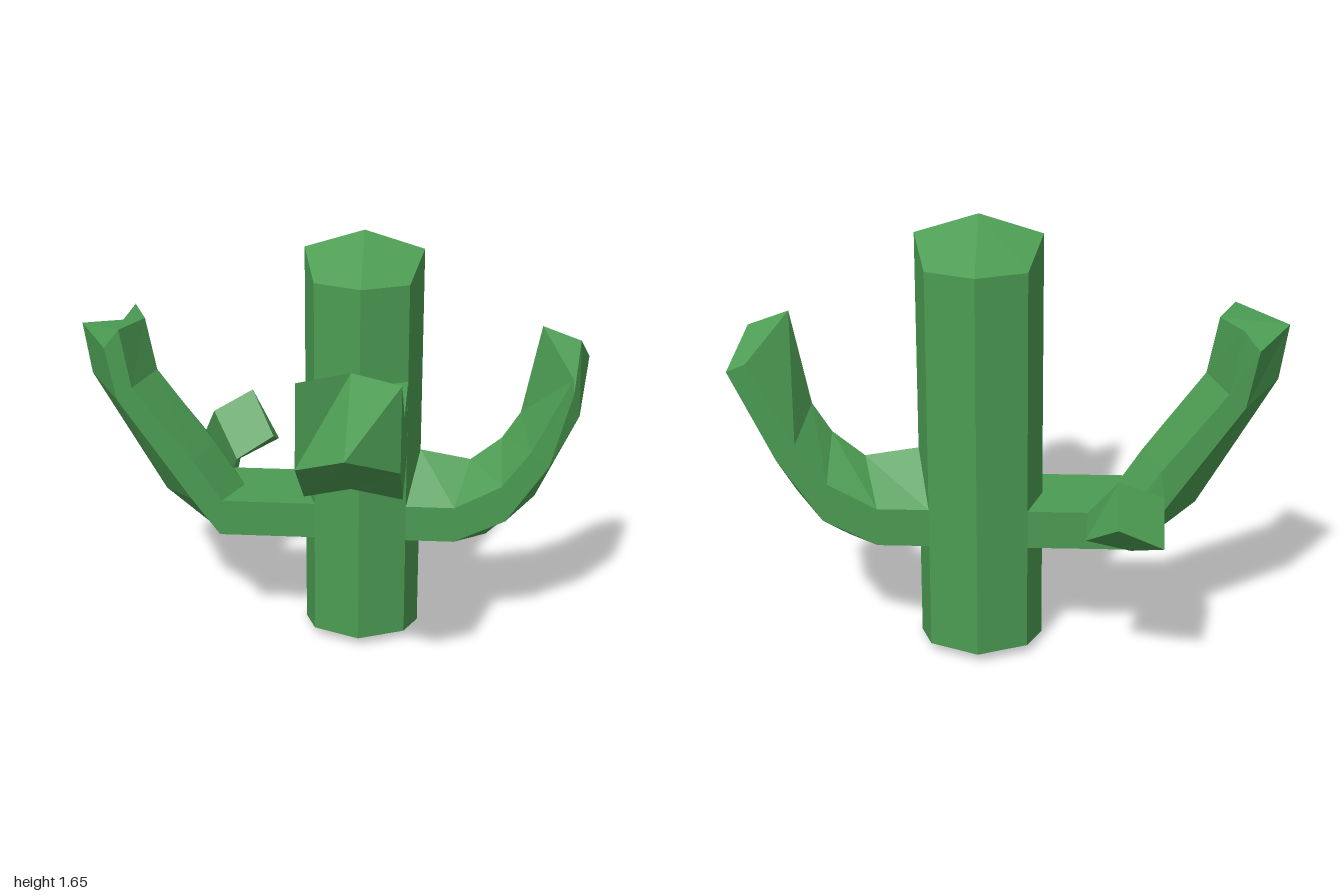
import * as THREE from 'three';

const green = new THREE.MeshStandardMaterial({ color: 0x4b9b52, flatShading: true });

// Skins a row of rings (each counter-clockwise seen from the tip), optionally closing the tip
function loft(name, rings, cap = true) {
  const out = [];
  const quad = (a, b, c, d) => out.push(...a, ...b, ...c, ...a, ...c, ...d);
  const n = rings[0].length;
  for (let r = 0; r < rings.length - 1; r++) {
    for (let j = 0; j < n; j++) {
      const k = (j + 1) % n;
      quad(rings[r][j], rings[r][k], rings[r + 1][k], rings[r + 1][j]);
    }
  }
  const tip = rings[rings.length - 1];
  if (cap) {
    for (let i = 0; i < n / 2 - 1; i++) quad(tip[i], tip[i + 1], tip[n - 2 - i], tip[n - 1 - i]);
  }
  const geometry = new THREE.BufferGeometry();
  geometry.setAttribute('position', new THREE.Float32BufferAttribute(out, 3));
  geometry.computeVertexNormals();
  const mesh = new THREE.Mesh(geometry, green);
  mesh.name = name;
  return mesh;
}

const CX = 0.11, CZ = -0.26; // trunk axis

// Six-sided ring: lower side, lower middle, upper side, upper middle, each [along, y].
// place(along, y, side) turns them into points; side is -1, 0 or 1.
const hexRing = (place) => ([ls, lm, us, um]) => [
  place(...ls, -1), place(...lm, 0), place(...ls, 1),
  place(...us, 1), place(...um, 0), place(...us, -1),
];

export function createModel() {
  const model = new THREE.Group();
  model.name = 'cactus';

  // Eight-sided trunk with a ridged top and bottom
  const around = (f) => Array.from({ length: 8 }, (_, i) => f(i));
  const trunkRing = (ySide, yOther) => around((i) => {
    const a = (i * Math.PI) / 4;
    const diagonal = i % 2 === 1;
    return [
      CX + Math.cos(a) * (diagonal ? 0.255 : 0.23),
      i % 4 === 0 ? ySide : yOther,
      CZ - Math.sin(a) * (diagonal ? 0.247 : 0.255),
    ];
  });
  model.add(loft('trunk', [
    around(() => [CX, 0, CZ]),
    trunkRing(0, 0.035),
    trunkRing(1.58, 1.485),
    around(() => [CX, 1.65, CZ]),
  ], false));

  // Front arm, growing along +z
  model.add(loft('frontArm', [
    [[-0.09, 0.805], [-0.01, 0.805], [-0.09, 1.105], [-0.01, 1.105]],
    [[0.35, 0.805], [0.50, 0.905], [0.30, 1.105], [0.18, 1.105]],
    [[0.67, 1.04], [0.83, 1.14], [0.63, 1.34], [0.51, 1.34]],
  ].map(hexRing((z, y, s) => [CX + s * 0.18, y, z]))));

  // Left arm, growing along +x, with a skewed tip
  const leftRings = [
    [[0.29, 0.44], [0.34, 0.40], [0.29, 0.585], [0.34, 0.76]],
    [[0.48, 0.44], [0.61, 0.40], [0.48, 0.585], [0.54, 0.725]],
    [[0.68, 0.535], [0.80, 0.575], [0.66, 0.68], [0.66, 0.82]],
    [[0.84, 0.77], [0.96, 0.92], [0.77, 0.83], [0.73, 0.93]],
  ].map(hexRing((x, y, s) => [x, y, CZ - s * 0.175]));
  leftRings.push([
    [0.92, 1.07, -0.09], [0.95, 1.23, -0.26], [1.0, 1.11, -0.44],
    [0.93, 1.14, -0.44], [0.80, 1.285, -0.26], [0.915, 1.13, -0.09],
  ]);
  model.add(loft('leftArm', leftRings));

  // Right arm, growing along -x
  model.add(loft('rightArm', [
    [[-0.07, 0.44], [-0.12, 0.40], [-0.07, 0.585], [-0.12, 0.585]],
    [[-0.45, 0.44], [-0.50, 0.40], [-0.44, 0.585], [-0.37, 0.585]],
    [[-0.56, 0.59], [-0.69, 0.56], [-0.55, 0.75], [-0.49, 0.77]],
    [[-0.84, 1.0], [-0.97, 1.05], [-0.78, 1.05], [-0.71, 1.07]],
    [[-0.88, 1.21], [-1.0, 1.255], [-0.82, 1.285], [-0.75, 1.28]],
  ].map(hexRing((x, y, s) => [x, y, CZ + s * 0.175]))));

  // Small four-sided shoot on the back of the right arm
  model.add(loft('backShoot', [
    [[-0.45, 0.44, -0.435], [-0.56, 0.59, -0.435], [-0.55, 0.75, -0.435], [-0.44, 0.585, -0.435]],
    [[-0.44, 0.54, -0.65], [-0.55, 0.61, -0.78], [-0.55, 0.75, -0.66], [-0.44, 0.58, -0.54]],
    [[-0.28, 0.61, -0.72], [-0.39, 0.70, -0.83], [-0.39, 0.83, -0.72], [-0.29, 0.665, -0.60]],
  ]));

  return model;
}
